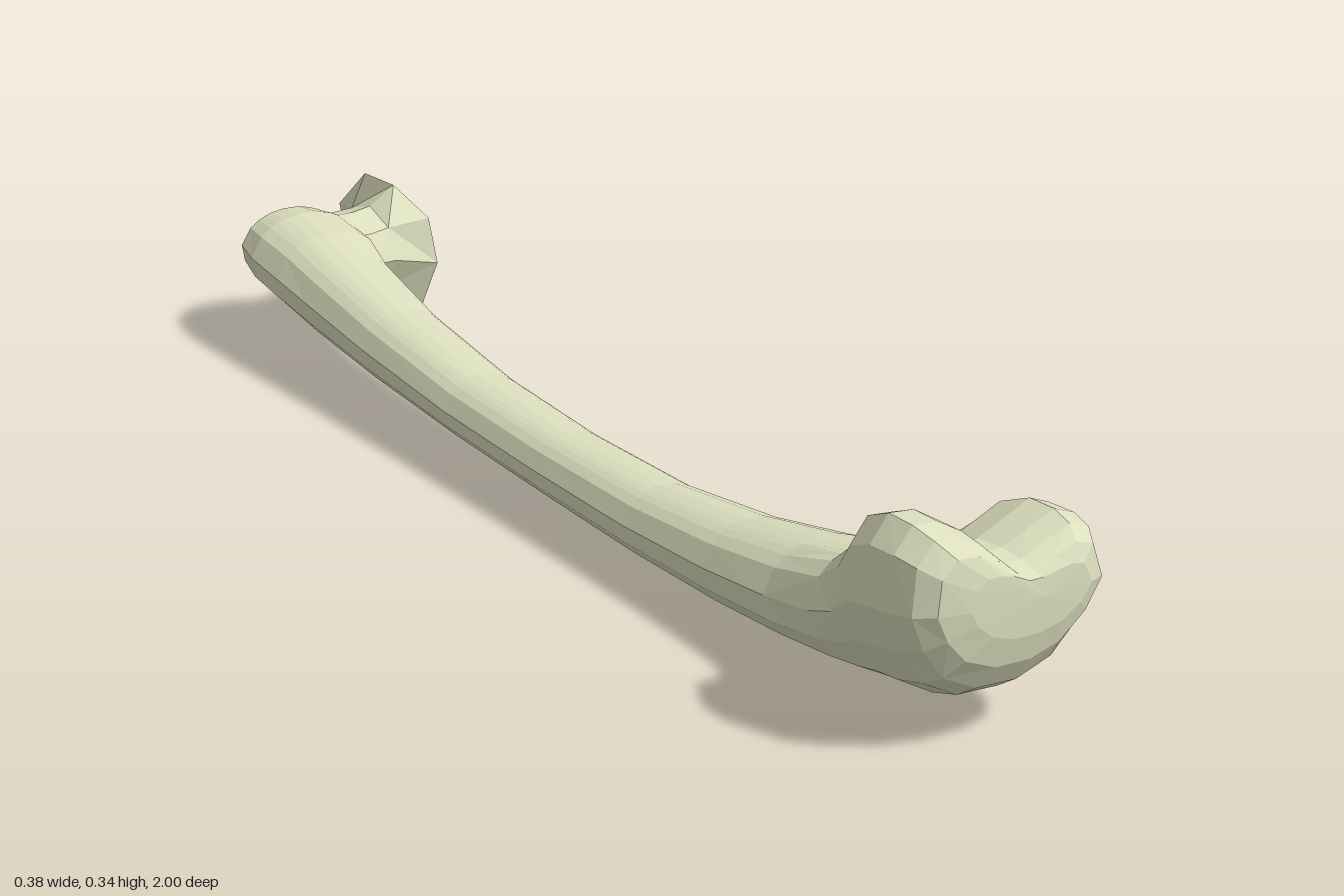
import * as THREE from 'three';

const bone = new THREE.MeshStandardMaterial({ color: 0xdcdfbe, flatShading: true });

// Skins a list of equal-length point rings; a ring may collapse to one point.
function loft(name, rings) {
  const pos = [];
  const n = rings[0].length;
  const tri = (a, b, c) => {
    const area = new THREE.Vector3().subVectors(b, a).cross(new THREE.Vector3().subVectors(c, a)).length();
    if (area > 1e-9) pos.push(...a.toArray(), ...b.toArray(), ...c.toArray());
  };
  for (let i = 0; i < rings.length - 1; i++) {
    for (let k = 0; k < n; k++) {
      const j = (k + 1) % n;
      const a = rings[i][k], b = rings[i][j], c = rings[i + 1][j], d = rings[i + 1][k];
      // alternate diagonals for an irregular facet pattern
      if ((i + k) % 2) { tri(a, b, c); tri(a, c, d); } else { tri(a, b, d); tri(b, c, d); }
    }
  }
  const geo = new THREE.BufferGeometry();
  geo.setAttribute('position', new THREE.Float32BufferAttribute(pos, 3));
  geo.computeVertexNormals();
  const mesh = new THREE.Mesh(geo, bone);
  mesh.name = name;
  return mesh;
}

const V = (x, y, z) => new THREE.Vector3(x, y, z);

// Two-lobed outline of the knee end, in a -1..1 box
const lobes = [
  [0.99, 0.07], [0.86, 0.67], [0.65, 0.77], [0.38, 0.63], [0.13, 0.5], [-0.05, 0.5],
  [-0.29, 0.8], [-0.53, 0.97], [-0.78, 1], [-0.96, 0.73], [-1, 0.13], [-0.87, -0.33],
  [-0.65, -0.73], [-0.29, -0.97], [0.13, -1], [0.5, -0.83], [0.8, -0.43],
];

// Section at z filling a box; w blends from ellipse (0) to two lobes (1)
function section([z, x0, x1, y0, y1, w]) {
  return lobes.map(([u, v]) => {
    const r = Math.hypot(u, v);
    const px = THREE.MathUtils.lerp(u / r, u, w);
    const py = THREE.MathUtils.lerp(v / r, v, w);
    return V((x0 + x1) / 2 + px * (x1 - x0) / 2, (y0 + y1) / 2 + py * (y1 - y0) / 2, z);
  });
}

function shaftAndCondyles() {
  // z, x min, x max, y min, y max, lobe blend
  const rows = [
    [-0.96, -0.055, -0.055, 0.16, 0.16, 0],
    [-0.95, -0.11, 0.01, 0.12, 0.195, 0],
    [-0.92, -0.138, 0.035, 0.1, 0.213, 0],
    [-0.86, -0.153, 0.045, 0.085, 0.222, 0],
    [-0.77, -0.156, 0.04, 0.074, 0.216, 0],
    [-0.68, -0.156, 0.015, 0.066, 0.202, 0],
    [-0.5, -0.155, -0.004, 0.053, 0.172, 0],
    [-0.25, -0.155, -0.016, 0.042, 0.145, 0],
    [0, -0.155, -0.021, 0.035, 0.138, 0],
    [0.25, -0.155, -0.014, 0.028, 0.141, 0],
    [0.45, -0.154, 0.012, 0.025, 0.158, 0],
    [0.6, -0.154, 0.042, 0.028, 0.182, 0],
    [0.71, -0.157, 0.077, 0.034, 0.212, 0.3],
    [0.775, -0.165, 0.11, 0.039, 0.253, 0.8],
    [0.825, -0.178, 0.13, 0.046, 0.313, 1],
    [0.88, -0.187, 0.14, 0.054, 0.338, 1],
    [0.93, -0.185, 0.142, 0.07, 0.338, 1],
    [0.965, -0.173, 0.138, 0.093, 0.325, 1],
    [0.988, -0.148, 0.125, 0.13, 0.302, 1],
    [0.998, -0.1, 0.1, 0.17, 0.27, 0.8],
    [1, 0.02, 0.02, 0.22, 0.22, 0],
  ];
  return loft('shaftAndCondyles', rows.map(section));
}

function neckAndHead() {
  // Flared rim of the head: front, top, back, bottom
  const rim = [
    V(0.178, 0.1, -0.825), V(0.165, 0.18, -0.83), V(0.125, 0.232, -0.875), V(0.1, 0.243, -0.925),
    V(0.092, 0.17, -1), V(0.1, 0.08, -0.965), V(0.128, 0, -0.9), V(0.165, 0.02, -0.855),
  ];
  const centre = V(0.13, 0.13, -0.9);
  const out = V(0.88, 0, -0.47);
  const dome = (scale, lift) =>
    rim.map((p) => centre.clone().lerp(p, scale).addScaledVector(out, lift));
  const neck = (x, y, z, ry, rz) => rim.map((_, k) => {
    const a = (k / rim.length) * Math.PI * 2;
    return V(x, y + ry * Math.sin(a), z + rz * Math.cos(a));
  });
  return loft('neckAndHead', [
    dome(0, 0.046), dome(0.4, 0.04), dome(0.75, 0.026), rim,
    neck(0.085, 0.13, -0.885, 0.07, 0.085),
    neck(0.045, 0.137, -0.875, 0.062, 0.09),
    neck(-0.04, 0.15, -0.85, 0.06, 0.09),
    neck(-0.06, 0.15, -0.85, 0, 0),
  ]);
}

export function createModel() {
  const group = new THREE.Group();
  group.name = 'thighBone';
  group.add(shaftAndCondyles(), neckAndHead());
  return group;
}
